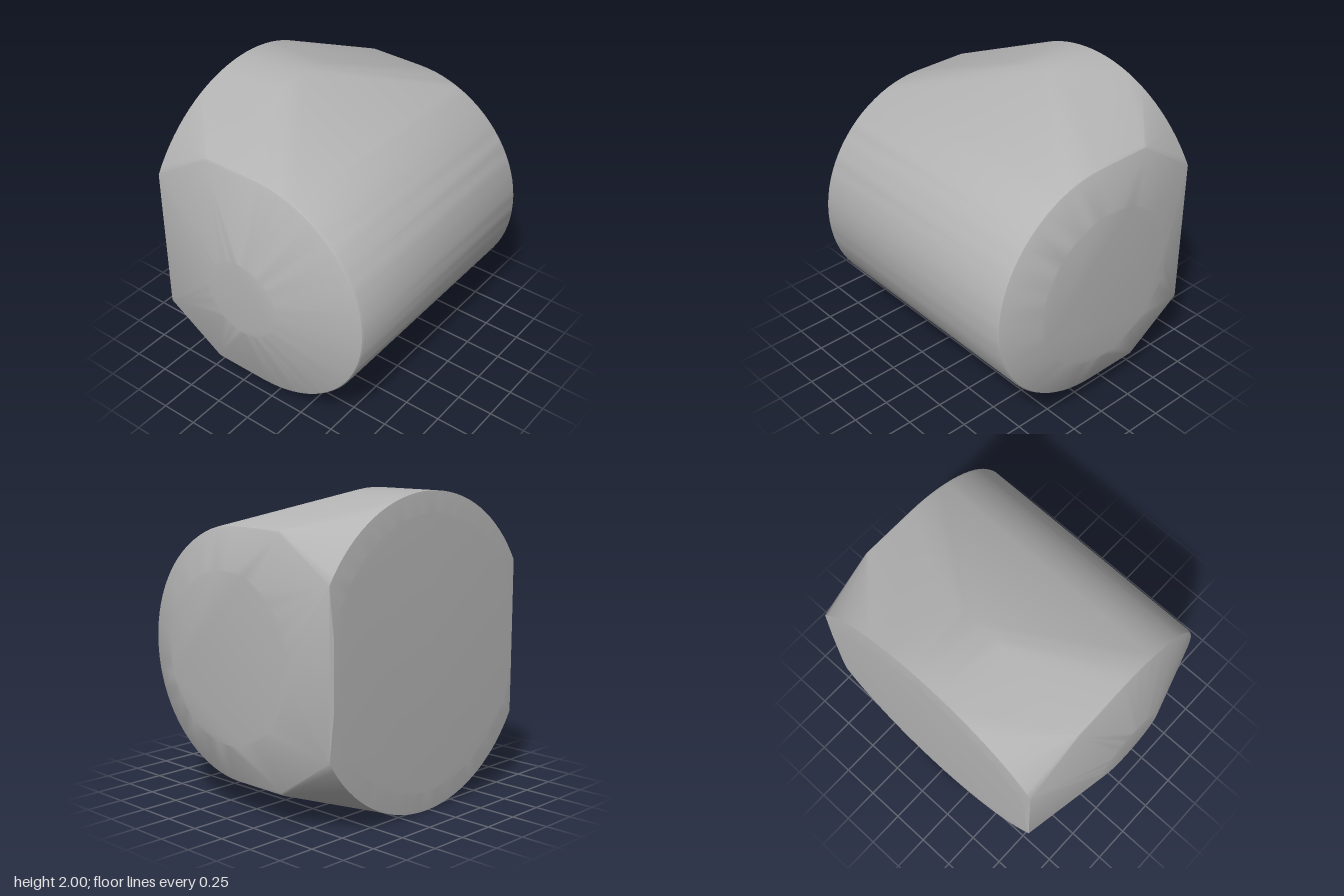
import * as THREE from 'three';
import { ConvexGeometry } from 'three/addons/geometries/ConvexGeometry.js';
import { toCreasedNormals } from 'three/addons/utils/BufferGeometryUtils.js';

const CX = 0.03, CY = 1, HALF = 0.86;

export function createModel() {
  const group = new THREE.Group();
  const grey = new THREE.MeshStandardMaterial({ color: 0xb4b4b4 });
  grey.name = 'plain grey';

  const points = [];
  const add = (x, y, z) => points.push(new THREE.Vector3(x, y, z));

  // Cross-section of the barrel: round at the front, squared off towards the back
  const barrelSection = (x, r) => {
    const n = 40;
    for (let i = 0; i <= n; i++) {
      const a = -Math.PI / 2 + (Math.PI * i) / n;
      add(x, CY + r * Math.sin(a), r * Math.cos(a));
    }
    for (const s of [-1, 1]) add(x, CY + s * r, -0.38);
  };

  // Small flat disc closing each side
  const endDisc = (x, r) => {
    const n = 40;
    for (let i = 0; i < n; i++) {
      const a = (2 * Math.PI * i) / n;
      add(x, CY + r * Math.sin(a), r * Math.cos(a));
    }
  };

  // Upright disc of the back, with its sides cut straight
  const backDisc = (z, r, half) => {
    const a0 = Math.acos(Math.min(1, half / r)), n = 32;
    for (const s of [-1, 1]) {
      for (let i = 0; i <= n; i++) {
        const a = a0 + ((Math.PI - 2 * a0) * i) / n;
        add(CX + r * Math.cos(a), CY + s * r * Math.sin(a), z);
      }
    }
  };

  // Barrel with a narrow bevel at both ends
  for (const [x, r] of [[-0.83, 0.775], [-0.822, 0.792], [-0.805, 0.8],
    [0.865, 0.8], [0.882, 0.792], [0.89, 0.775]]) barrelSection(x, r);
  endDisc(-0.985, 0.27);
  endDisc(0.98, 0.54);

  // Back drum and its shallow bevelled face
  backDisc(-0.32, 1, HALF);
  backDisc(-0.785, 1, HALF);
  backDisc(-0.8, 0.87, HALF - 0.02);

  const body = new THREE.Mesh(toCreasedNormals(new ConvexGeometry(points), 0.5), grey);
  body.name = 'body';
  group.add(body);
  return group;
}
